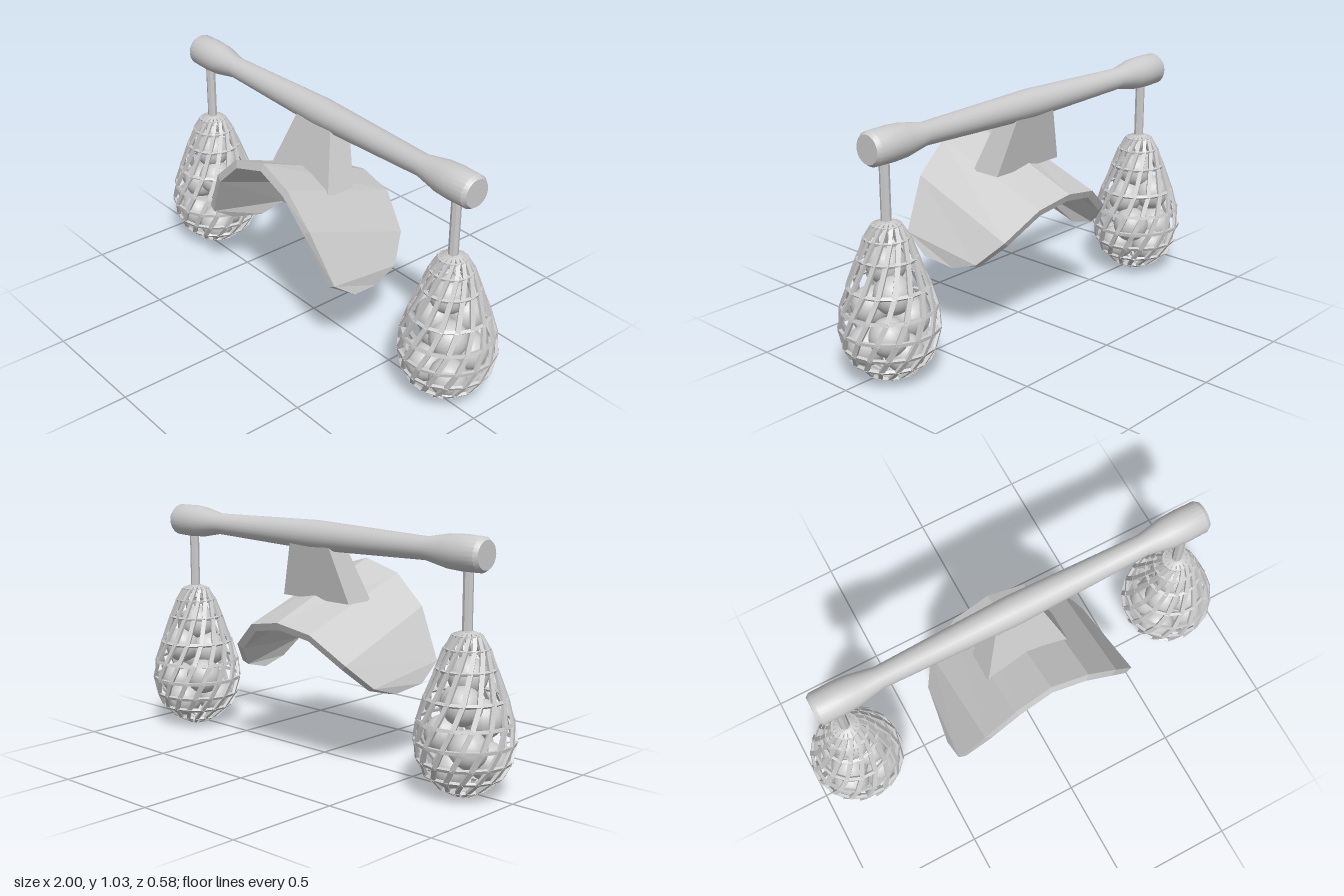
import * as THREE from 'three';
import { mergeGeometries, toCreasedNormals } from 'three/addons/utils/BufferGeometryUtils.js';

const grey = new THREE.MeshStandardMaterial({ color: 0xcccccc });
const greyFlat = new THREE.MeshStandardMaterial({ color: 0xcccccc, flatShading: true });

function part(name, geometry, material = grey) {
  const mesh = new THREE.Mesh(geometry, material);
  mesh.name = name;
  return mesh;
}

// Flat strip from a to b whose face looks along the outward direction
function strip(a, b, outward, width, depth) {
  const along = b.clone().sub(a);
  const length = along.length();
  along.normalize();
  const side = new THREE.Vector3().crossVectors(along, outward).normalize();
  const out = new THREE.Vector3().crossVectors(side, along);
  const mid = a.clone().add(b).multiplyScalar(0.5);
  return new THREE.BoxGeometry(width, length + width * 0.4, depth)
    .applyMatrix4(new THREE.Matrix4().makeBasis(side, along, out).setPosition(mid));
}

// Egg-shaped lattice: horizontal hoops joined by one family of slanting strips
function cageGeometry() {
  const rings = [[0.01, 0.008], [0.045, 0.011], [0.1, 0.04], [0.157, 0.093], [0.187, 0.153], [0.2, 0.227],
    [0.19, 0.308], [0.16, 0.4], [0.116, 0.515], [0.086, 0.592], [0.055, 0.643], [0.022, 0.656]];
  const sides = 16;
  const step = (Math.PI * 2) / sides;
  const point = (ring, i) => {
    const [r, y] = rings[ring];
    const a = (i + ring * 0.5) * step;
    return new THREE.Vector3(r * Math.sin(a), y, r * Math.cos(a));
  };
  const strips = [];
  rings.forEach((ring, k) => {
    for (let i = 0; i < sides; i++) {
      const p = point(k, i);
      const thin = Math.min(1, 0.45 + ring[0] * 4);
      const out = (q) => q.clone().sub(new THREE.Vector3(0, 0.25, 0));
      const next = point(k, i + 1);
      strips.push(strip(p, next, out(p.clone().add(next).multiplyScalar(0.5)), 0.014 * thin, 0.012));
      if (k < rings.length - 1) {
        const up = point(k + 1, i);
        strips.push(strip(p, up, out(p.clone().add(up).multiplyScalar(0.5)), 0.02 * thin, 0.012));
      }
    }
  });
  return mergeGeometries(strips);
}

// Arched plate: each column has a front and a back point, thickened inwards
function saddleGeometry() {
  const half = [
    [[0, 0.835, 0.27], [0, 0.62, -0.285]],
    [[0.17, 0.785, 0.28], [0.17, 0.59, -0.27]],
    [[0.31, 0.655, 0.28], [0.32, 0.475, -0.215]],
    [[0.425, 0.44, 0.245], [0.39, 0.375, -0.12]],
    [[0.43, 0.36, 0.14], [0.405, 0.335, 0.0]],
  ];
  const mirrored = half.slice(1).reverse().map((c) => c.map(([x, y, z]) => [-x, y, z]));
  const columns = [...mirrored, ...half].map((c) => c.map((p) => new THREE.Vector3(...p)));
  const axis = new THREE.Vector3(0, 0.36, 0.93).normalize();
  const thickness = 0.035;
  // section loop per column: outer front, outer back, inner back, inner front
  const loops = columns.map((c, i) => {
    const before = columns[Math.max(i - 1, 0)];
    const after = columns[Math.min(i + 1, columns.length - 1)];
    const tangent = after[0].clone().add(after[1]).sub(before[0]).sub(before[1]);
    const inward = new THREE.Vector3().crossVectors(tangent, axis);
    inward.addScaledVector(axis, -inward.dot(axis)).normalize().multiplyScalar(thickness);
    if (inward.y * 1 + -inward.x * Math.sign(c[0].x) * -1 > 0 && inward.y > 0) inward.negate();
    return [c[0], c[1], c[1].clone().add(inward), c[0].clone().add(inward)];
  });
  const positions = [];
  const quad = (a, b, c, d) => [a, b, c, a, c, d].forEach((p) => positions.push(p.x, p.y, p.z));
  for (let i = 0; i < loops.length - 1; i++) {
    for (let j = 0; j < 4; j++) {
      const k = (j + 1) % 4;
      quad(loops[i][j], loops[i + 1][j], loops[i + 1][k], loops[i][k]);
    }
  }
  const last = loops[loops.length - 1];
  quad(...loops[0]);
  quad(last[3], last[2], last[1], last[0]);
  const geometry = new THREE.BufferGeometry();
  geometry.setAttribute('position', new THREE.Float32BufferAttribute(positions, 3));
  geometry.computeVertexNormals();
  return geometry;
}

export function createModel() {
  const model = new THREE.Group();
  model.name = 'yokeWithBaskets';

  // Carrying bar, thicker at the grips and the middle
  const profile = [[0, -0.885], [0.058, -0.885], [0.07, -0.868], [0.072, -0.78], [0.068, -0.71], [0.047, -0.6],
    [0.064, 0], [0.047, 0.6], [0.068, 0.71], [0.072, 0.78], [0.07, 0.868], [0.058, 0.885], [0, 0.885]];
  const barGeometry = new THREE.LatheGeometry(profile.map(([r, y]) => new THREE.Vector2(r, y)), 24);
  const bar = part('bar', toCreasedNormals(barGeometry, 0.6));
  bar.rotation.z = Math.PI / 2;
  bar.position.set(0, 0.964, -0.05);
  model.add(bar);

  // Tapered block between the bar and the shoulder plate
  const block = new THREE.BoxGeometry(1, 1, 1);
  const pos = block.attributes.position;
  for (let i = 0; i < pos.count; i++) {
    const top = pos.getY(i) > 0;
    const front = pos.getZ(i) > 0;
    const halfWidth = top ? 0.105 : 0.19;
    const z = top ? (front ? 0.0 : -0.1) : (front ? 0.083 : -0.055);
    pos.setXYZ(i, Math.sign(pos.getX(i)) * halfWidth, top ? 0.95 : 0.69, z);
  }
  model.add(part('supportBlock', block, greyFlat));

  const saddleMaterial = greyFlat.clone();
  saddleMaterial.side = THREE.DoubleSide;
  model.add(part('shoulderSaddle', saddleGeometry(), saddleMaterial));

  // Hanging baskets, each with a stem, a lattice cage and a pile of balls
  const cage = cageGeometry();
  const stem = new THREE.CylinderGeometry(0.021, 0.021, 0.3, 8);
  const ball = new THREE.SphereGeometry(0.08, 20, 14);
  const balls = [[0.07, 0.14, 0.06], [-0.07, 0.13, 0.05], [0.0, 0.13, -0.08], [0.06, 0.21, -0.06],
    [-0.08, 0.24, -0.03], [0.05, 0.31, 0.05], [-0.05, 0.36, 0.03], [0.03, 0.38, -0.06], [0.0, 0.48, 0.01]];
  for (const side of [-1, 1]) {
    const basket = new THREE.Group();
    basket.name = side > 0 ? 'leftBasket' : 'rightBasket';
    basket.position.set(side * 0.794, 0, -0.04);
    basket.add(part('cage', cage, greyFlat));
    const rod = part('stem', stem, greyFlat);
    rod.position.y = 0.79;
    basket.add(rod);
    for (const [x, y, z] of balls) {
      const b = part('ball', ball);
      b.position.set(side * x, y, z);
      basket.add(b);
    }
    model.add(basket);
  }
  return model;
}
